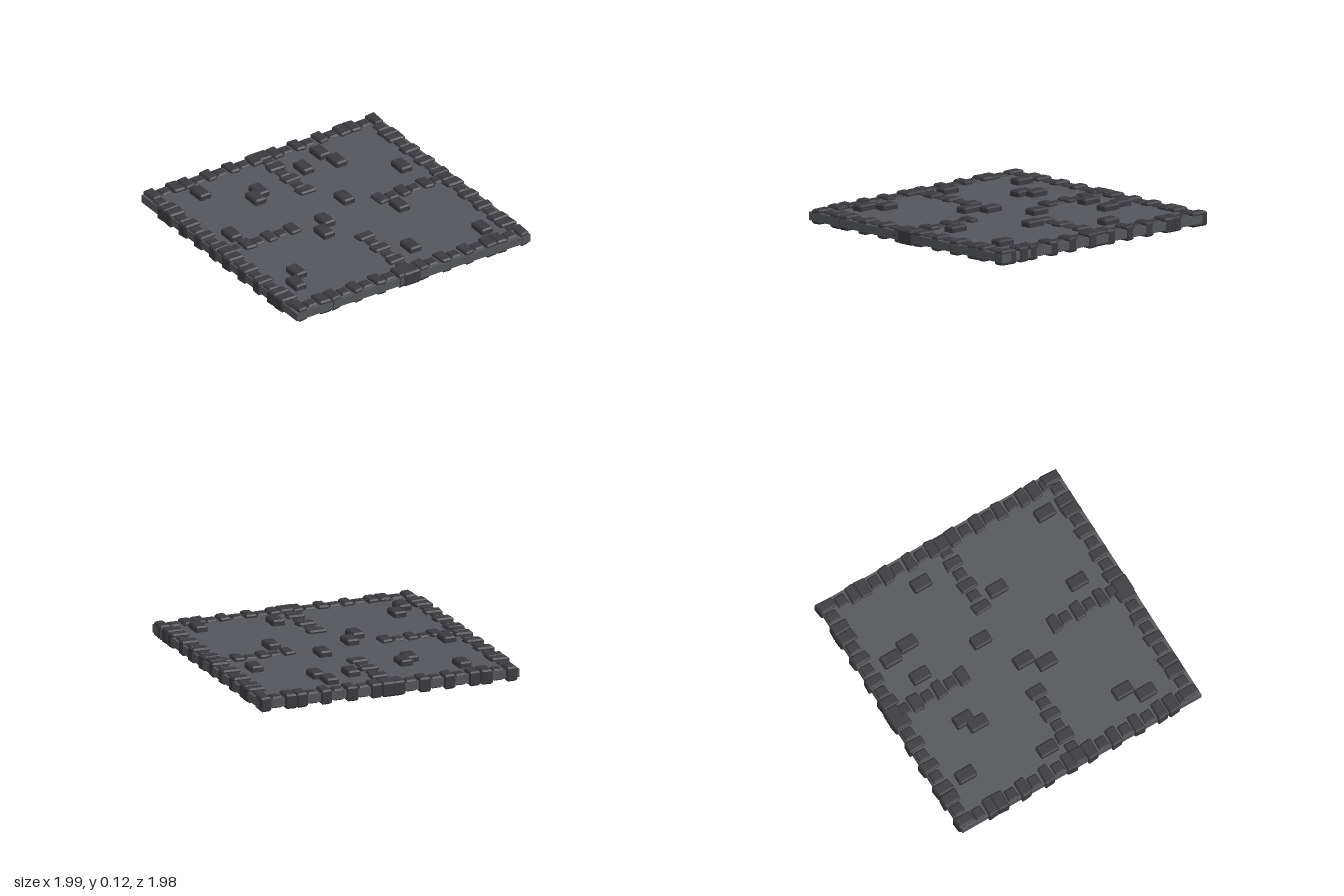
import * as THREE from 'three';

const stone = new THREE.MeshStandardMaterial({ color: 0x3b3b40, flatShading: true });
const slabMat = new THREE.MeshStandardMaterial({ color: 0x55565b, flatShading: true });

// Chamfered block: w along x, d along z, from y0 to y1; skew shears it, taper narrows one end
function brick(name, x, z, w, d, y0, y1, { skew = 0, taper = 0, turn = 0 } = {}) {
  const b = 0.011, c = 0.008;
  const quad = [
    [-w / 2 + taper, -d / 2 - skew], [w / 2 - taper, -d / 2 + skew],
    [w / 2, d / 2 + skew], [-w / 2, d / 2 - skew],
  ].map(([px, py]) => new THREE.Vector2(px, py));
  // cut each corner slightly
  const points = quad.flatMap((p, i) => [quad[(i + 3) % 4], quad[(i + 1) % 4]].map(
    (q) => p.clone().add(q.clone().sub(p).setLength(c))));
  const geo = new THREE.ExtrudeGeometry(new THREE.Shape(points), {
    depth: y1 - y0 - 2 * b, bevelEnabled: true, bevelSegments: 1,
    bevelThickness: b, bevelSize: b, bevelOffset: -b,
  });
  geo.rotateX(-Math.PI / 2);
  const mesh = new THREE.Mesh(geo, stone);
  mesh.name = name;
  mesh.position.set(x, y0 + b, z);
  mesh.rotation.y = turn;
  return mesh;
}

// A run of stones at [position, isBig]; alongX picks its direction
function run(name, list, fixed, alongX) {
  const group = new THREE.Group();
  group.name = name;
  list.forEach(([p, big], i) => {
    const opts = big
      ? { skew: [0.004, -0.003, 0.005][i % 3], taper: [0.006, -0.004, 0.003, 0.007][i % 4] }
      : { skew: 0.001, taper: 0.002 };
    opts.turn = alongX ? 0 : Math.PI / 2;
    const [x, z] = alongX ? [p, fixed] : [fixed, p];
    group.add(brick('stone', x, z, 0.086, big ? 0.132 : 0.09,
      big ? 0.008 : 0.02, big ? 0.113 : 0.103, opts));
  });
  return group;
}

export function createModel() {
  const model = new THREE.Group();
  model.name = 'stoneFloor';

  // Floor slab
  const slab = new THREE.Mesh(new THREE.BoxGeometry(1.965, 0.06, 1.955), slabMat);
  slab.name = 'slab';
  slab.position.set(0.003, 0.06, 0.007);
  model.add(slab);

  // Front and back edging
  const bigX = [-0.92, -0.73, -0.64, -0.45, -0.26, -0.07, 0.105, 0.29, 0.485, 0.67, 0.755, 0.945];
  const smallX = [-0.825, -0.54, -0.355, -0.165, 0.195, 0.385, 0.58, 0.855];
  const edgeX = [...bigX.map((p) => [p, true]), ...smallX.map((p) => [p, false])];
  model.add(run('backEdging', edgeX, -0.922, true), run('frontEdging', edgeX, 0.915, true));

  // Side edging
  const bigZ = [-0.715, -0.635, -0.445, -0.255, -0.07, 0.10, 0.295, 0.48, 0.67, 0.765];
  const smallZ = [-0.81, -0.54, -0.355, -0.16, 0.20, 0.39, 0.575, 0.86];
  const edgeZ = [...bigZ.map((p) => [p, true]), ...smallZ.map((p) => [p, false])];
  model.add(run('rightEdging', edgeZ, -0.926, false), run('leftEdging', edgeZ, 0.922, false));

  // Wide stones in the middle of each edge
  for (const [x, z, w, d] of [
    [-0.005, -0.935, 0.14, 0.11], [-0.005, 0.93, 0.14, 0.12],
    [-0.92, 0.01, 0.11, 0.1], [0.92, 0.01, 0.11, 0.1],
  ]) model.add(brick('middleStone', x, z, w, d, 0.008, 0.113));

  // Four inner rows reaching from the edges toward the centre
  model.add(
    run('backRow', [[-0.855, 0], [-0.76, 1], [-0.665, 0], [-0.57, 1], [-0.475, 0], [-0.38, 1]], 0.003, false),
    run('frontRow', [[0.375, 1], [0.465, 0], [0.565, 1], [0.66, 0], [0.755, 1], [0.85, 0]], 0.003, false),
    run('rightRow', [[-0.845, 0], [-0.745, 1], [-0.655, 0], [-0.56, 1], [-0.463, 0], [-0.367, 1]], 0.005, true),
    run('leftRow', [[0.375, 1], [0.473, 0], [0.565, 1], [0.66, 0], [0.755, 1], [0.853, 0]], 0.003, true),
  );

  // Raised paving stones scattered over the slab
  const paving = new THREE.Group();
  paving.name = 'raisedPaving';
  for (const [x, z] of [
    [-0.64, -0.74], [-0.28, -0.54], [-0.355, -0.47], [-0.77, -0.15],
    [0.157, -0.63], [0.366, -0.74], [0.404, -0.585], [0.74, -0.27],
    [0.163, -0.13], [-0.12, 0.05], [-0.213, 0.18], [0.43, 0.165],
    [-0.675, 0.525], [-0.768, 0.658], [0.185, 0.675], [0.74, 0.745],
  ]) paving.add(brick('pavingStone', x, z, 0.094, 0.145, 0.045, 0.133));
  model.add(paving);

  return model;
}
